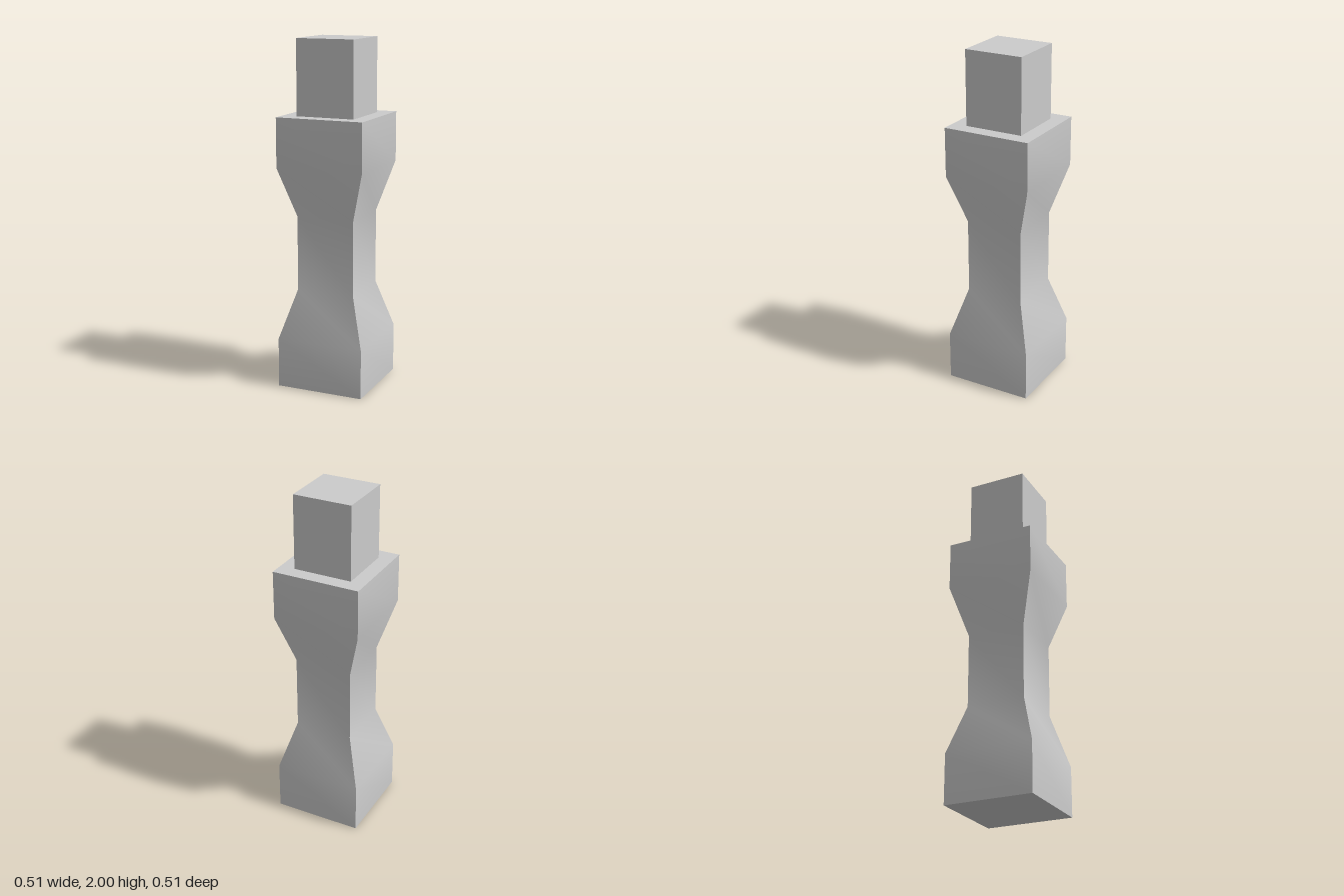
import * as THREE from 'three';
import { toCreasedNormals } from 'three/addons/utils/BufferGeometryUtils.js';

export function createModel() {
  const model = new THREE.Group();
  model.name = 'squarePost';
  const material = new THREE.MeshStandardMaterial({ color: 0xcccccc });

  const wide = 0.257, narrow = 0.171; // half widths
  const shoulderY = 1.571, topY = 2;

  // Square shaft: [half width, height], swept around four sides
  const profile = [
    [0, 0], [wide, 0], [wide, 0.286], [narrow, 0.571],
    [narrow, 1.0], [wide, 1.286], [wide, shoulderY], [0, shoulderY],
  ].map(([half, y]) => new THREE.Vector2(half * Math.SQRT2, y));
  const shaftGeometry = new THREE.LatheGeometry(profile, 4, Math.PI / 4);
  // Gentle bends stay smooth, corners stay sharp
  const shaft = new THREE.Mesh(toCreasedNormals(shaftGeometry, Math.PI / 6), material);
  shaft.name = 'shaft';
  model.add(shaft);

  // Square peg standing on the shoulder
  const pegHeight = topY - shoulderY;
  const peg = new THREE.Mesh(new THREE.BoxGeometry(narrow * 2, pegHeight, narrow * 2), material);
  peg.position.y = shoulderY + pegHeight / 2;
  peg.name = 'peg';
  model.add(peg);

  return model;
}
